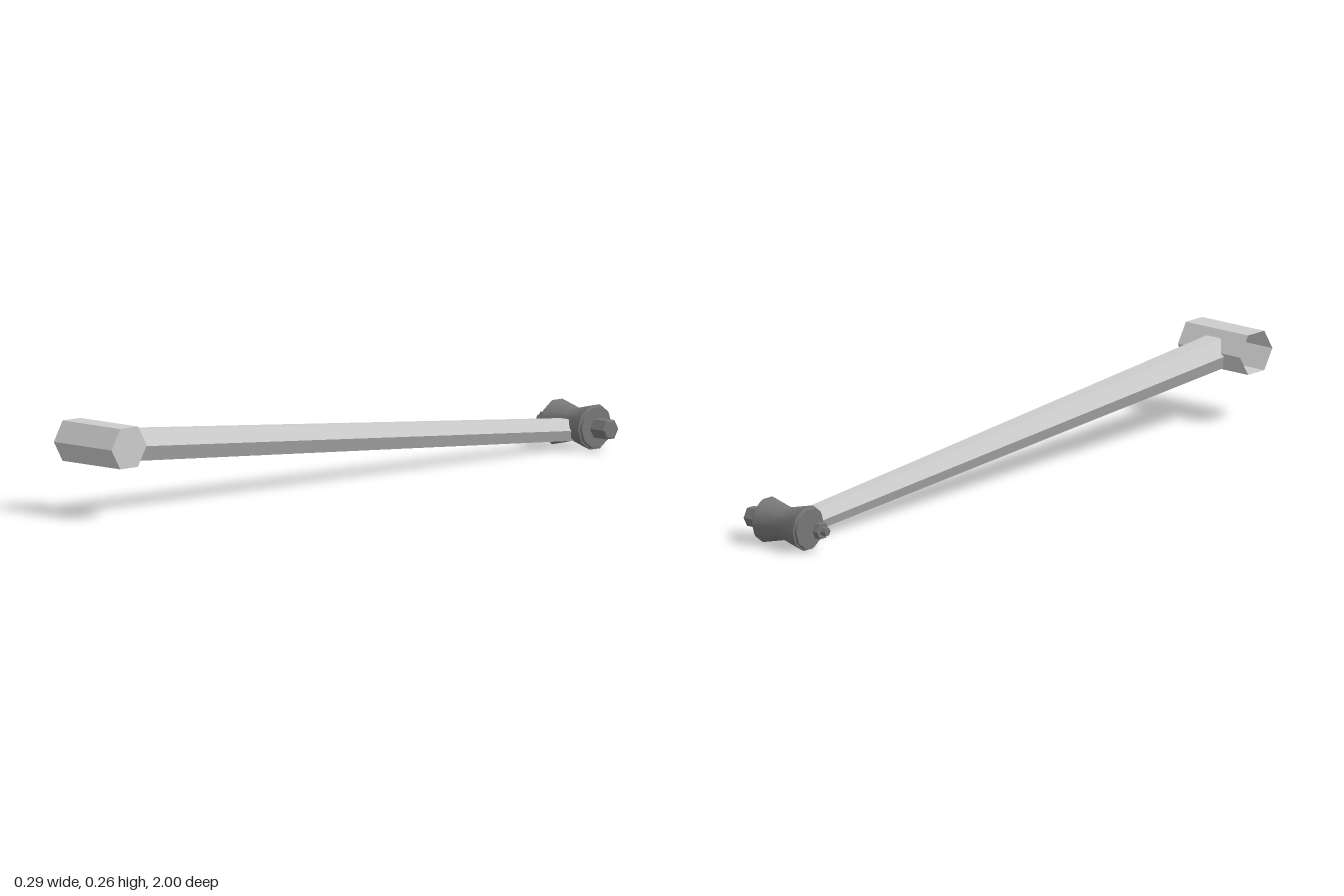
import * as THREE from 'three';
import { toCreasedNormals } from 'three/addons/utils/BufferGeometryUtils.js';

const light = new THREE.MeshStandardMaterial({ color: 0xcccccc, flatShading: true, side: THREE.DoubleSide });
const dark = new THREE.MeshStandardMaterial({ color: 0x777777, flatShading: true });
const darkSmooth = new THREE.MeshStandardMaterial({ color: 0x777777 });

// Lathe around the x axis; profile is a list of [x, radius] from -x to +x
function turned(profile, sides) {
  const geo = new THREE.LatheGeometry(profile.map(([x, r]) => new THREE.Vector2(r, x)), sides);
  return geo.rotateZ(-Math.PI / 2);
}

function add(group, name, geo, mat, y, z) {
  const mesh = new THREE.Mesh(geo, mat);
  mesh.name = name;
  mesh.position.set(0, y, z);
  group.add(mesh);
  return mesh;
}

export function createModel() {
  const model = new THREE.Group();
  model.name = 'linkArm';

  // Hexagonal front sleeve, closed at +x and open at -x
  const sleeve = turned([[-0.115, 0.068], [0.115, 0.068], [0.115, 0]], 6);
  sleeve.scale(1, 0.97, 1.02);
  add(model, 'frontSleeve', sleeve, light, 0.203, 0.931);

  // Tapered hexagonal rod, sloping down towards the back
  const front = new THREE.Vector3(0.001, 0.198, 0.93);
  const back = new THREE.Vector3(0.001, 0.05, -0.92);
  const span = front.clone().sub(back);
  const rodGeo = new THREE.CylinderGeometry(0.052, 0.035, span.length(), 6, 1, false, Math.PI / 2);
  rodGeo.rotateX(Math.PI / 2 - Math.atan2(span.y, span.z));
  const rod = add(model, 'rod', rodGeo, light, 0, 0);
  rod.position.copy(front).add(back).multiplyScalar(0.5);

  // Waisted bushing at the back end, with a narrow bevelled rim on each side
  const joint = new THREE.Group();
  joint.name = 'rearJoint';
  joint.position.set(0.002, 0.063, -0.936);
  model.add(joint);
  const bushing = turned([
    [-0.083, 0], [-0.083, 0.059], [-0.076, 0.061], [-0.075, 0.0655],
    [0, 0.047],
    [0.075, 0.0655], [0.076, 0.061], [0.083, 0.059], [0.083, 0],
  ], 10);
  add(joint, 'bushing', toCreasedNormals(bushing, 0.7), darkSmooth, 0, 0);

  // Bolt head on the +x side
  add(joint, 'boltHead', turned([
    [0.083, 0], [0.086, 0.03], [0.138, 0.03], [0.141, 0.026], [0.141, 0],
  ], 6), dark, -0.001, 0);

  // Nut and threaded tip standing off the -x side
  add(joint, 'nut', turned([[-0.13, 0], [-0.13, 0.025], [-0.113, 0.025], [-0.113, 0]], 6), dark, 0.001, 0);
  add(joint, 'boltTip', turned([[-0.147, 0], [-0.147, 0.0125], [-0.128, 0.0125], [-0.128, 0]], 6), dark, 0.001, 0);

  return model;
}
